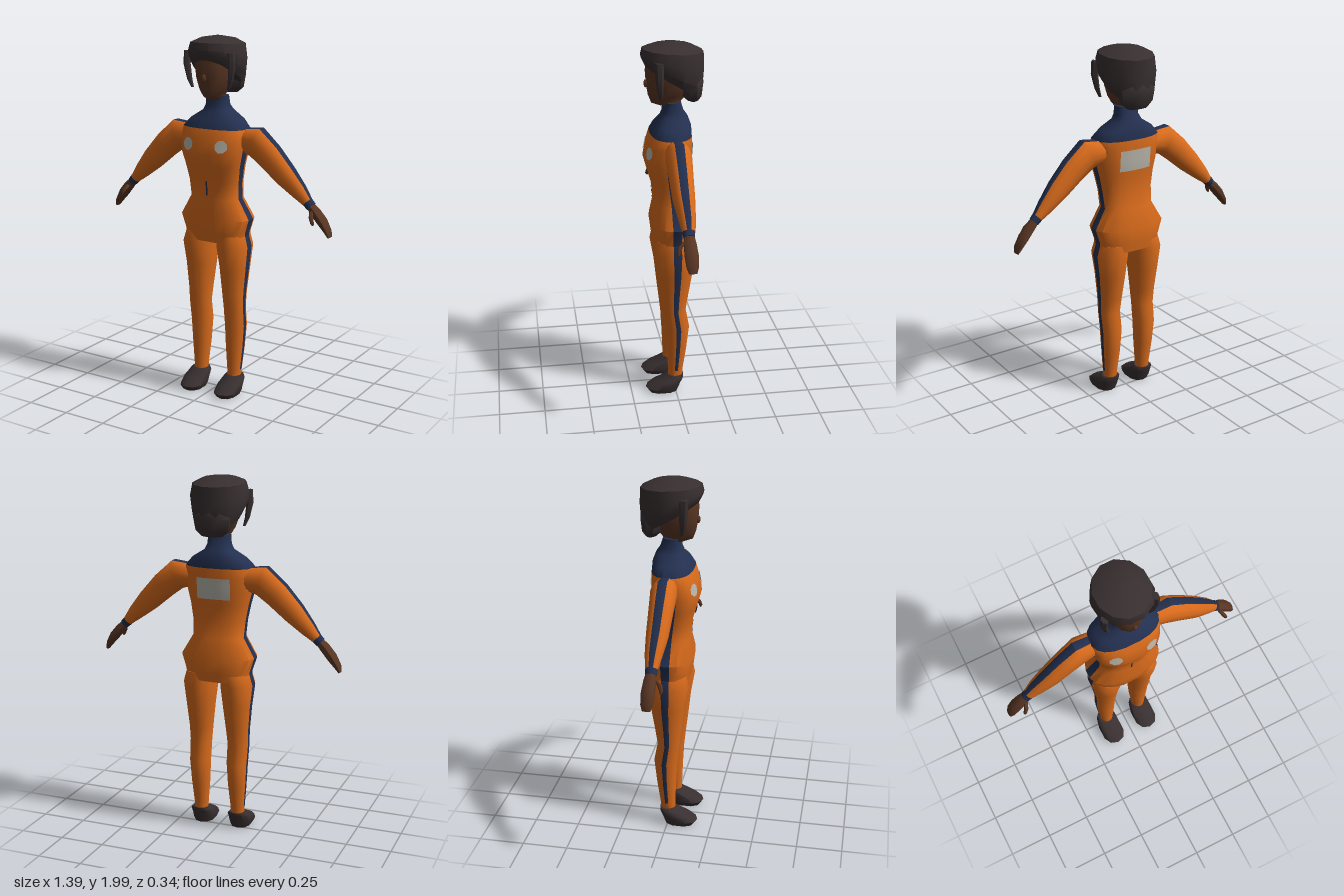
import * as THREE from 'three';
import { toCreasedNormals } from 'three/addons/utils/BufferGeometryUtils.js';

const material = (name, color, side = THREE.FrontSide) => {
  const m = new THREE.MeshStandardMaterial({ color, side });
  m.name = name;
  return m;
};

// Skin over rings [cx, cy, cz, radiusU, radiusV, tiltDegrees, shear].
// Angle 0 points along +x (untilted); half-turn segments of width 2w at 0 and PI can carry stripes.
function loft(rings, { m = 5, w = 0.25, pow = 1, mirror = false, crease = 0.8, pick = () => 0 } = {}) {
  const angles = [];
  for (let h = 0; h < 2; h++)
    for (let k = 0; k <= m; k++) angles.push(h * Math.PI + w + (k * (Math.PI - 2 * w)) / m);
  const n = angles.length, sx = mirror ? -1 : 1, pos = [], tris = [[], []];
  const curve = (v) => Math.sign(v) * Math.abs(v) ** pow;
  for (const [cx, cy, cz, ru, rv, tilt = 0, shear = 0] of rings) {
    const t = THREE.MathUtils.degToRad(tilt);
    for (const a of angles) {
      const u = ru * curve(Math.cos(a)), v = rv * curve(Math.sin(a));
      pos.push(sx * (cx + u * Math.cos(t)), cy + u * Math.sin(t) + shear * v, cz + v);
    }
  }
  const tri = (g, a, b, c) => tris[g].push(...(mirror ? [a, c, b] : [a, b, c]));
  const last = rings.length - 1;
  for (let i = 0; i < last; i++)
    for (let j = 0; j < n; j++) {
      const k = (j + 1) % n, g = pick(i, j, m);
      const a = i * n + j, b = i * n + k, c = a + n, d = b + n;
      tri(g, a, c, b);
      tri(g, b, c, d);
    }
  // end caps
  for (const i of [0, last]) {
    const centre = pos.length / 3;
    pos.push(sx * rings[i][0], rings[i][1], rings[i][2]);
    for (let j = 0; j < n; j++) {
      const a = i * n + j, b = i * n + ((j + 1) % n), g = i ? pick(last - 1, j, m) : 0;
      if (i) tri(g, a, centre, b);
      else tri(g, a, b, centre);
    }
  }
  const geo = new THREE.BufferGeometry();
  geo.setAttribute('position', new THREE.Float32BufferAttribute(pos, 3));
  geo.setIndex([...tris[0], ...tris[1]]);
  geo.addGroup(0, tris[0].length, 0);
  geo.addGroup(tris[0].length, tris[1].length, 1);
  return toCreasedNormals(geo, crease);
}

// Horizontal ring from half width and front/back depth
const slab = (y, rx, front, back, cx = 0) => [cx, y, (front + back) / 2, rx, (front - back) / 2];

export function createModel() {
  const orange = material('suitOrange', 0xd96b1c);
  const navy = material('suitNavy', 0x233050);
  const dark = material('hairAndBoots', 0x382f30);
  const skin = material('skin', 0x593624);
  const patch = material('patchGrey', 0xbab6ac, THREE.DoubleSide);
  const suit = [orange, navy];
  const model = new THREE.Group();
  model.name = 'figure';
  const add = (name, geo, mat) => {
    const mesh = new THREE.Mesh(geo, mat);
    mesh.name = name;
    model.add(mesh);
    return mesh;
  };

  // Torso with navy yoke, collar and side stripes
  const POW = 0.8;
  const torso = [
    slab(0.89, 0.185, 0.105, -0.115), slab(0.94, 0.186, 0.115, -0.122), slab(1.02, 0.212, 0.125, -0.127),
    slab(1.13, 0.147, 0.106, -0.1), slab(1.22, 0.153, 0.112, -0.083), slab(1.31, 0.168, 0.138, -0.09),
    slab(1.38, 0.186, 0.157, -0.098), slab(1.46, 0.194, 0.14, -0.102), slab(1.515, 0.192, 0.122, -0.1),
    slab(1.56, 0.15, 0.1, -0.098), slab(1.605, 0.078, 0.068, -0.082), slab(1.635, 0.064, 0.055, -0.06),
    slab(1.685, 0.062, 0.05, -0.045),
  ];
  add('torso', loft(torso, {
    m: 9, w: 0.13, pow: POW,
    pick: (i, j, m) => (i >= 8 || j === m || j === 2 * m + 1 ? 1 : 0),
  }), suit);

  // Flat details are laid on the torso surface
  const surfaceZ = (x, y, side) => {
    const i = Math.max(0, torso.findIndex((r) => r[1] > y) - 1);
    const f = (y - torso[i][1]) / (torso[i + 1][1] - torso[i][1]);
    const at = (k) => THREE.MathUtils.lerp(torso[i][k], torso[i + 1][k], f);
    return at(2) + side * at(4) * (1 - Math.abs(x / at(3)) ** (2 / POW)) ** (POW / 2);
  };
  const applique = (name, geo, x, y, side, mat) => {
    if (side < 0) geo.rotateY(Math.PI);
    geo.translate(x, y, 0);
    const p = geo.attributes.position;
    for (let i = 0; i < p.count; i++)
      p.setZ(i, surfaceZ(p.getX(i), p.getY(i), side) + side * 0.004);
    geo.computeVertexNormals();
    add(name, geo, mat);
  };
  for (const s of [1, -1])
    applique('chestPatch', new THREE.CircleGeometry(0.035, 8).rotateZ(Math.PI / 8), s * 0.103, 1.43, 1, patch);
  applique('backPatch', new THREE.PlaneGeometry(0.19, 0.115, 6, 4), 0, 1.405, -1, patch);
  applique('zipper', new THREE.PlaneGeometry(0.009, 0.08, 1, 2), 0, 1.19, 1, navy);

  for (const mirror of [false, true]) {
    const side = mirror ? 'right' : 'left';

    // Leg with outer stripe
    add(side + 'Leg', loft([
      slab(0.1, 0.038, 0.04, -0.042, 0.11), slab(0.14, 0.041, 0.04, -0.045, 0.11),
      slab(0.27, 0.053, 0.045, -0.065, 0.11), slab(0.4, 0.06, 0.052, -0.08, 0.111),
      slab(0.51, 0.062, 0.064, -0.06, 0.112), slab(0.6, 0.067, 0.075, -0.075, 0.109),
      slab(0.74, 0.081, 0.09, -0.1, 0.108), slab(0.865, 0.096, 0.112, -0.118, 0.108),
      slab(0.93, 0.085, 0.1, -0.11, 0.1),
    ], { mirror, m: 6, w: 0.2, pick: (i, j, m) => (j === 2 * m + 1 && i > 0 ? 1 : 0) }), suit);

    // Boot
    add(side + 'Boot', loft([
      slab(0.008, 0.056, 0.15, -0.015, 0.112), slab(0.035, 0.069, 0.168, -0.026, 0.112),
      slab(0.065, 0.066, 0.125, -0.036, 0.112), slab(0.092, 0.06, 0.055, -0.047, 0.112),
      slab(0.107, 0.05, 0.04, -0.047, 0.112),
    ], { mirror, m: 4, w: 0.35, pow: 0.85 }), dark);

    // Sleeve with stripe along the top and a navy cuff
    add(side + 'Sleeve', loft([
      [0.16, 1.455, 0, 0.065, 0.06, -92], [0.245, 1.452, 0.002, 0.086, 0.07, -110],
      [0.33, 1.382, 0.004, 0.076, 0.064, -130], [0.425, 1.29, 0.004, 0.064, 0.058, -133],
      [0.505, 1.212, 0, 0.045, 0.045, -135], [0.553, 1.163, 0, 0.029, 0.032, -135],
      [0.575, 1.141, 0, 0.027, 0.03, -135],
    ], { mirror, w: 0.36, pick: (i, j, m) => (j === m || i === 5 ? 1 : 0) }), suit);

    // Hand and thumb
    add(side + 'Hand', loft([
      [0.565, 1.15, 0, 0.022, 0.026, -135], [0.6, 1.115, 0, 0.027, 0.034, -137],
      [0.64, 1.068, -0.002, 0.027, 0.037, -143], [0.673, 1.02, -0.002, 0.018, 0.033, -150],
      [0.686, 0.99, -0.002, 0.008, 0.022, -152],
    ], { mirror, m: 3, w: 0.4 }), skin);
    add(side + 'Thumb', loft([
      [0.585, 1.122, 0.022, 0.012, 0.014, -140], [0.598, 1.1, 0.05, 0.012, 0.014, -145],
      [0.612, 1.07, 0.06, 0.01, 0.01, -150], [0.616, 1.058, 0.058, 0.005, 0.005, -150],
    ], { mirror, m: 2, w: 0.5 }), skin);

    // Lock of hair beside the face
    add(side + 'Lock', loft([
      [0.112, 1.725, 0.075, 0.007, 0.009], [0.127, 1.77, 0.08, 0.013, 0.017],
      [0.14, 1.85, 0.085, 0.018, 0.023], [0.135, 1.92, 0.085, 0.018, 0.025],
    ], { mirror, m: 2, w: 0.5 }), dark);
  }

  // Head
  add('head', loft([
    slab(1.66, 0.045, 0.05, -0.04), slab(1.682, 0.046, 0.115, -0.045), slab(1.72, 0.073, 0.13, -0.075),
    slab(1.78, 0.096, 0.14, -0.095), slab(1.85, 0.107, 0.145, -0.105), slab(1.93, 0.1, 0.135, -0.105),
  ], { m: 5, w: 0.25, crease: 1.2 }), skin);
  const nose = add('nose', new THREE.SphereGeometry(1, 6, 5), skin);
  nose.scale.set(0.014, 0.022, 0.014);
  nose.position.set(0, 1.785, 0.139);

  // Hair cap, low at the nape and high over the brow, with a bun behind
  add('hair', loft([
    [0, 1.8, 0.005, 0.126, 0.145, 0, 0.6], [0, 1.84, 0.002, 0.15, 0.163, 0, 0.47],
    [0, 1.9, 0, 0.158, 0.169, 0, 0.2], [0, 1.962, -0.003, 0.143, 0.163, 0, 0.06],
    [0, 1.988, -0.002, 0.09, 0.1, 0, 0.03], [0, 2, 0, 0.015, 0.015],
  ], { m: 5, w: 0.26, crease: 0.7 }), dark);
  add('bun', loft([
    slab(1.69, 0.06, -0.075, -0.14), slab(1.72, 0.095, -0.04, -0.16), slab(1.785, 0.108, -0.03, -0.168),
    slab(1.83, 0.09, -0.04, -0.158), slab(1.85, 0.04, -0.07, -0.13),
  ], { m: 4, w: 0.3 }), dark);

  return model;
}
